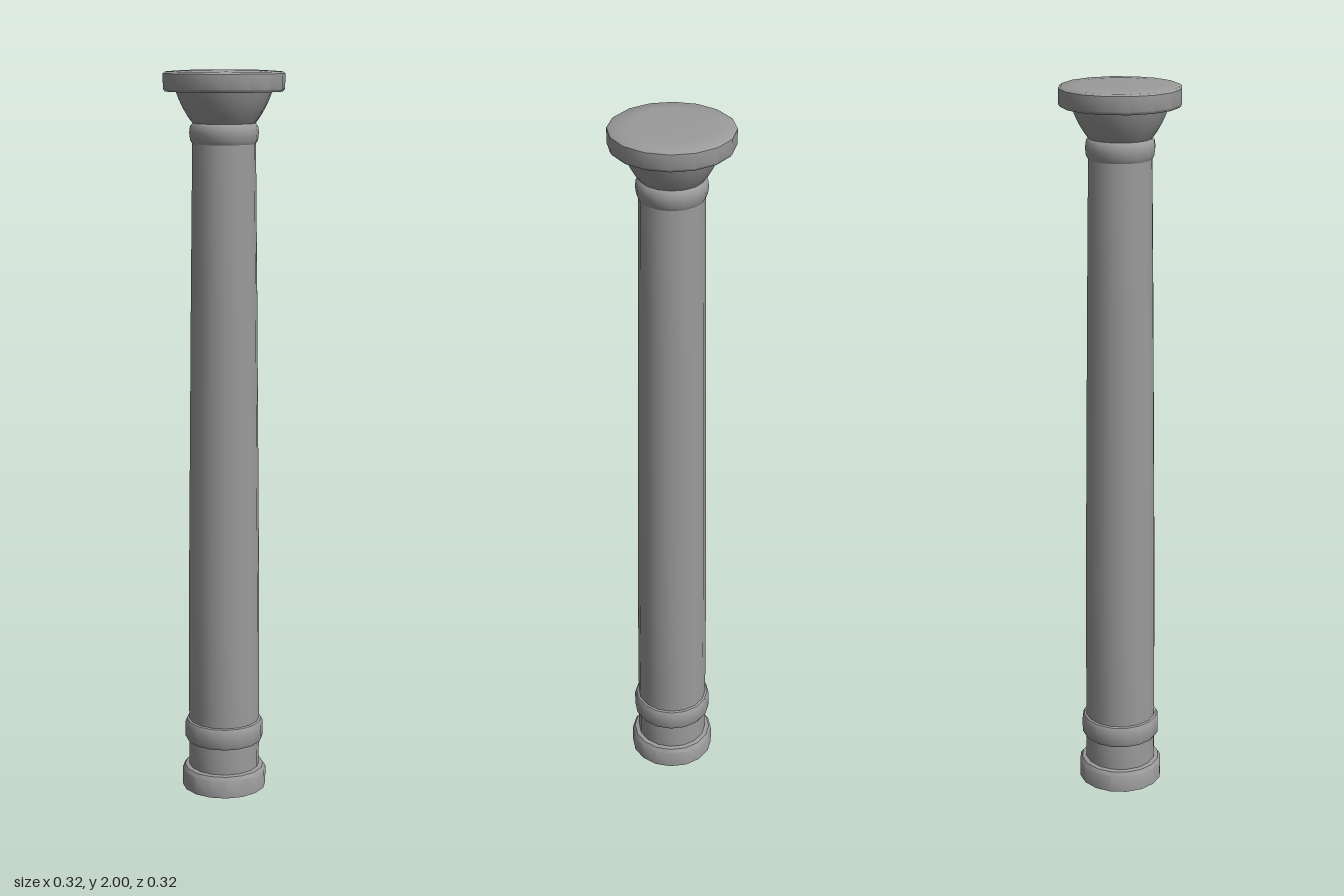
import * as THREE from 'three';
import { toCreasedNormals } from 'three/addons/utils/BufferGeometryUtils.js';

const SIDES = 16;
const material = new THREE.MeshStandardMaterial({ color: 0x9b9b9b, side: THREE.DoubleSide });

// Turns a [radius, height] profile, listed from bottom to top
function turned(name, profile) {
  const points = profile.map(([r, y]) => new THREE.Vector2(r, y));
  const geometry = toCreasedNormals(new THREE.LatheGeometry(points, SIDES), 0.7);
  const mesh = new THREE.Mesh(geometry, material);
  mesh.name = name;
  return mesh;
}

export function createModel() {
  const column = new THREE.Group();
  column.name = 'column';
  column.add(
    // Foot, open underneath, with a chamfered upper edge
    turned('base', [[0.118, 0], [0.118, 0.05], [0.111, 0.06], [0.099, 0.062]]),
    turned('baseNeck', [[0.099, 0.062], [0.099, 0.136]]),
    turned('baseRing', [[0.099, 0.136], [0.106, 0.138], [0.11, 0.146], [0.11, 0.187], [0.105, 0.197], [0.099, 0.199]]),
    // Shaft tapering with a slight swell
    turned('shaft', [[0.099, 0.199], [0.098, 0.6], [0.094, 1.0], [0.09, 1.4], [0.085, 1.808]]),
    // Rounded collar below the capital
    turned('collar', [[0.085, 1.808], [0.0905, 1.818], [0.093, 1.838], [0.0905, 1.855], [0.084, 1.862]]),
    // Flaring bell of the capital
    turned('capitalBell', [[0.084, 1.862], [0.097, 1.88], [0.111, 1.904], [0.121, 1.926], [0.128, 1.945]]),
    // Round slab with a softly eased top
    turned('capitalSlab', [[0.128, 1.945], [0.157, 1.945], [0.162, 1.952], [0.162, 1.992], [0.155, 1.997], [0.11, 2], [0, 2]])
  );
  return column;
}
